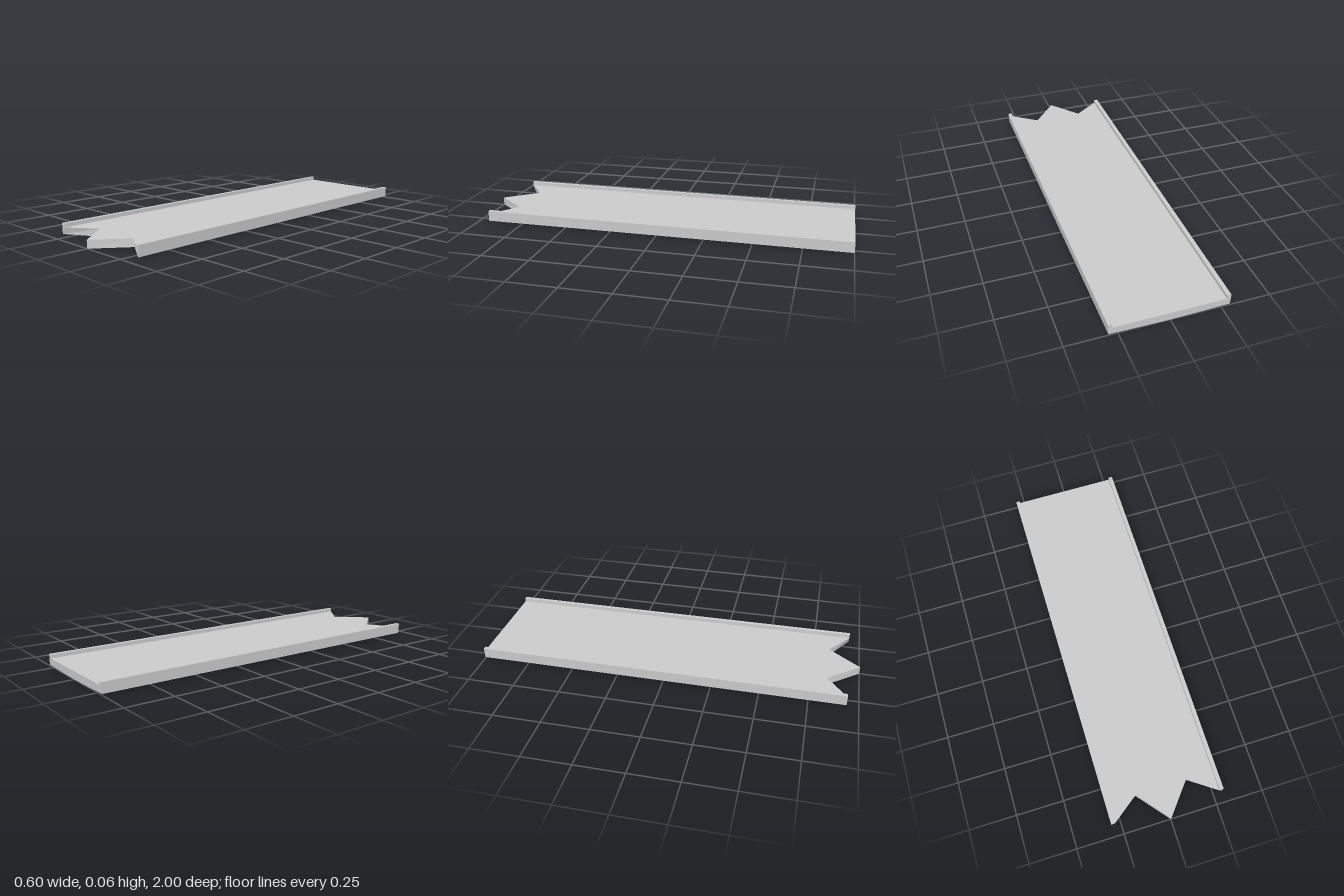
import * as THREE from 'three';

// Half of the cross-section, outside to centre: [topX, topY, bottomX, bottomY, frontZ]
const HALF = [
  [0.301, 0.062, 0.299, 0.006, 0.94],  // rail outer edge
  [0.28, 0.062, 0.299, 0.006, 0.94],   // rail inner edge
  [0.28, 0.042, 0.299, 0.006, 0.94],   // deck edge
  [0.136, 0.042, 0.139, 0.002, 0.835], // notch in the front edge
  [0, 0.042, 0, 0, 1],                 // front point on the centre line
];
const BACK_Z = -1;
const BACK_SCALE = 0.985; // slight taper toward the back

function deckGeometry() {
  const mirrored = HALF.map(([tx, ty, bx, by, z]) => [-tx, ty, -bx, by, z]);
  const columns = [...mirrored, ...HALF.slice(0, -1).reverse()].map(([tx, ty, bx, by, z]) => ({
    topFront: [tx, ty, z],
    bottomFront: [bx, by, z],
    topBack: [tx * BACK_SCALE, ty, BACK_Z],
    bottomBack: [bx * BACK_SCALE, by, BACK_Z],
  }));

  const positions = [];
  const same = (p, q) => p.every((v, i) => v === q[i]);
  const tri = (a, b, c) => {
    if (!same(a, b) && !same(b, c) && !same(a, c)) positions.push(...a, ...b, ...c);
  };
  const quad = (a, b, c, d) => { tri(a, b, c); tri(a, c, d); };

  // Top, underside, front and back between neighbouring columns
  for (let i = 0; i < columns.length - 1; i++) {
    const l = columns[i], r = columns[i + 1];
    quad(l.topFront, r.topFront, r.topBack, l.topBack);
    quad(l.bottomBack, r.bottomBack, r.bottomFront, l.bottomFront);
    quad(l.bottomFront, r.bottomFront, r.topFront, l.topFront);
    quad(r.bottomBack, l.bottomBack, l.topBack, r.topBack);
  }

  // Outer sides
  const a = columns[0], b = columns[columns.length - 1];
  quad(a.bottomBack, a.bottomFront, a.topFront, a.topBack);
  quad(b.bottomFront, b.bottomBack, b.topBack, b.topFront);

  const geometry = new THREE.BufferGeometry();
  geometry.setAttribute('position', new THREE.Float32BufferAttribute(positions, 3));
  geometry.computeVertexNormals();
  return geometry;
}

export function createModel() {
  const group = new THREE.Group();
  group.name = 'railedPlank';
  const material = new THREE.MeshStandardMaterial({ color: 0xcccccc, flatShading: true });
  const deck = new THREE.Mesh(deckGeometry(), material);
  deck.name = 'deckWithSideRails';
  group.add(deck);
  return group;
}
